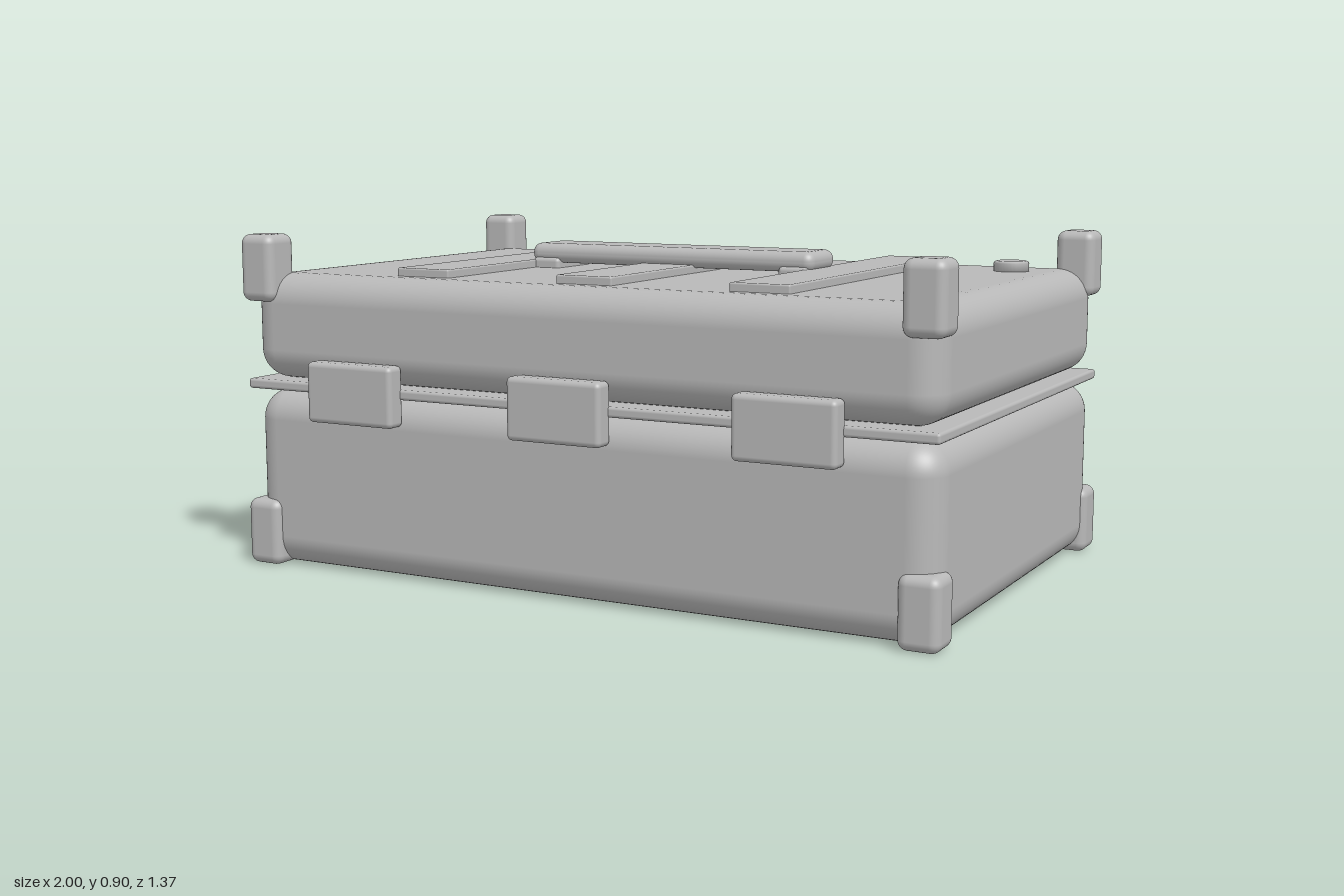
import * as THREE from 'three';
import { RoundedBoxGeometry } from 'three/addons/geometries/RoundedBoxGeometry.js';

export function createModel() {
  const group = new THREE.Group();
  const grey = new THREE.MeshStandardMaterial({ color: 0xb8b8b8 });
  grey.name = 'caseGrey';
  const zc = 0.01; // the shell sits slightly forward of the hardware's centre

  function add(name, geometry, x, y, z) {
    const mesh = new THREE.Mesh(geometry, grey);
    mesh.name = name;
    mesh.position.set(x, y, z);
    group.add(mesh);
    return mesh;
  }

  // Rounded box given by its lower and upper corners
  function block(name, [x0, y0, z0], [x1, y1, z1], radius, segments = 4) {
    const geometry = new RoundedBoxGeometry(x1 - x0, y1 - y0, z1 - z0, segments, radius);
    return add(name, geometry, (x0 + x1) / 2, (y0 + y1) / 2, (z0 + z1) / 2);
  }

  // Shell halves and the rim between them
  block('base', [-0.985, 0, zc - 0.623], [0.985, 0.48, zc + 0.623], 0.08, 6);
  block('lid', [-0.985, 0.51, zc - 0.623], [0.985, 0.795, zc + 0.623], 0.08, 6);
  block('rim', [-0.99, 0.483, zc - 0.63], [0.99, 0.51, zc + 0.63], 0.008, 2);

  // Corner guards, at the foot and the top of every corner
  for (const sx of [-1, 1]) {
    for (const sz of [-1, 1]) {
      for (const [name, y] of [['lowerCornerGuard', 0.09], ['upperCornerGuard', 0.81]]) {
        add(name, new RoundedBoxGeometry(0.107, 0.18, 0.107, 4, 0.025),
          sx * 0.9465, y, zc + sz * 0.589);
      }
    }
  }

  // Latches on the front, hinges with raised plates on the back
  for (const x of [-0.622, 0, 0.622]) {
    block('frontLatch', [x - 0.135, 0.412, 0.625], [x + 0.135, 0.573, 0.684], 0.014);
    block('backHinge', [x - 0.135, 0.352, -0.669], [x + 0.135, 0.546, -0.607], 0.02);
    block('hingePlate', [x - 0.088, 0.418, -0.683], [x + 0.088, 0.49, -0.655], 0.006, 2);
  }

  // Flat ribs across the lid
  for (const x of [-0.49, 0, 0.487]) {
    block('lidRib', [x - 0.081, 0.785, zc - 0.516], [x + 0.081, 0.817, zc + 0.516], 0.005, 2);
  }

  // Carry handle on two feet
  block('handle', [-0.43, 0.808, zc - 0.08], [0.43, 0.862, zc + 0.08], 0.025);
  for (const sx of [-1, 1]) {
    const x = sx * 0.377;
    block('handleFoot', [x - 0.042, 0.78, zc - 0.087], [x + 0.042, 0.823, zc + 0.087], 0.012);
  }

  // Pressure valve with a softened top edge
  const valveProfile = [[0, 0], [0.048, 0], [0.048, 0.032], [0.045, 0.036], [0.04, 0.038], [0, 0.038]]
    .map(([r, y]) => new THREE.Vector2(r, y));
  add('valve', new THREE.LatheGeometry(valveProfile, 32), 0.81, 0.785, -0.397);

  // Thin label panel on the back of the lid
  add('backPanel', new THREE.BoxGeometry(0.78, 0.1, 0.008), 0, 0.65, zc - 0.624);

  return group;
}
